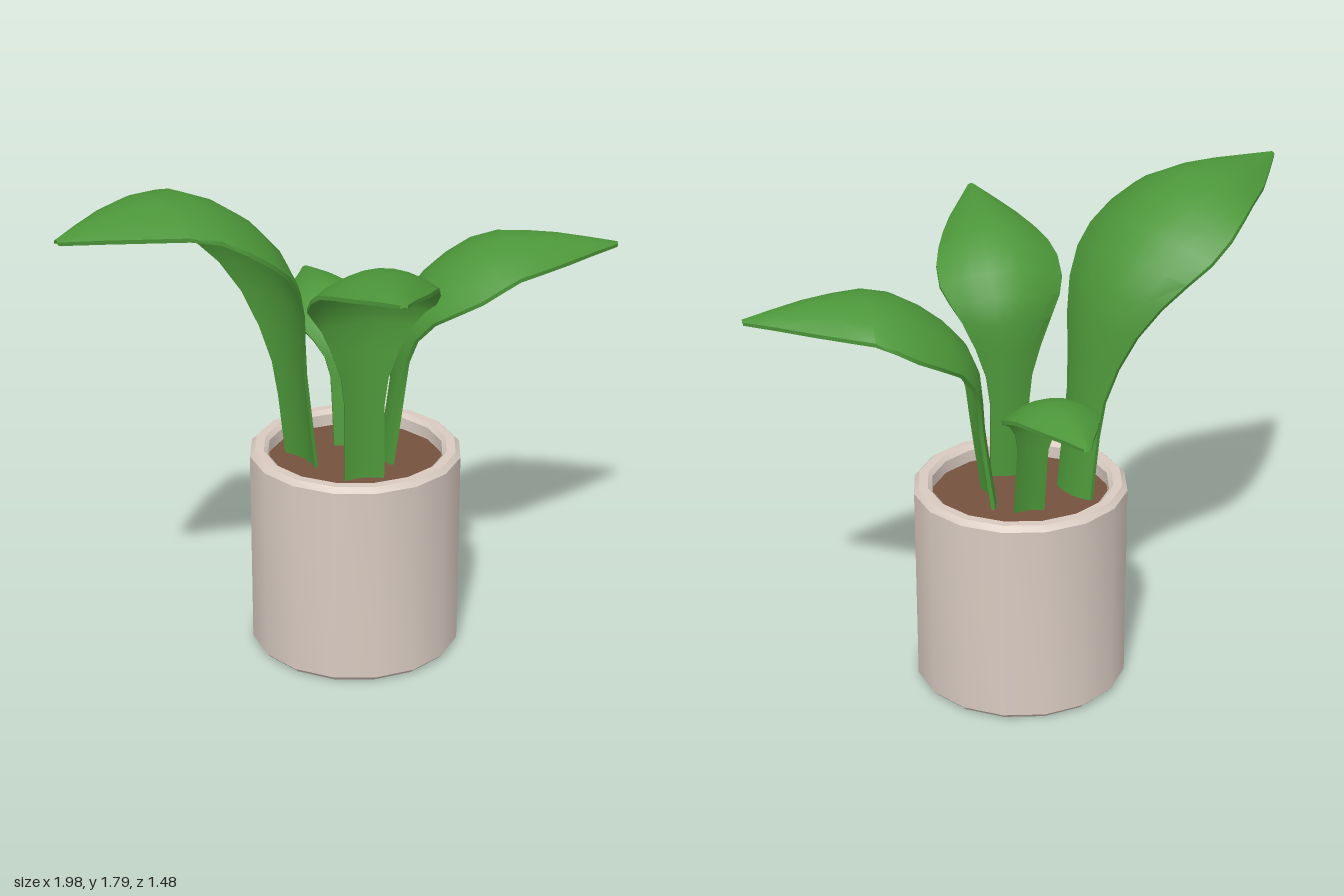
import * as THREE from 'three';
import { toCreasedNormals } from 'three/addons/utils/BufferGeometryUtils.js';

const HALF = 4;   // strips on each side of the midrib
const STEPS = 14; // strips along the leaf
const PEAK = 0.6; // where along the leaf the blade is widest

// Leaf along +z: the midrib follows [outward, height] points, the edges droop from it
function leafGeometry({ ridge, stalk, blade, start, tipBend = 0, bow = 0 }) {
  const curve = new THREE.CatmullRomCurve3(ridge.map(([r, y]) => new THREE.Vector3(0, y, r)));
  const pos = [], idx = [];
  const ring = 2 * (2 * HALF + 1);
  for (let i = 0; i <= STEPS; i++) {
    const s = i / STEPS;
    const p = curve.getPointAt(s), t = curve.getTangentAt(s);
    // narrow stalk, smooth widening, then a rounded taper to the tip
    const rise = THREE.MathUtils.smoothstep(s, start, PEAK);
    const fall = 1 - Math.pow(Math.max(0, (s - PEAK) / (1 - PEAK)), 1.8);
    const w = Math.max(0.012, (stalk + (blade - stalk) * rise) * fall);
    const droop = w * (0.23 + 0.16 * rise);
    const thick = Math.min(0.014, w);
    const shift = tipBend * s * s + bow * Math.sin(Math.PI * s * s);
    const add = (u, below) => {
      const d = droop * u * u + below;
      pos.push(shift + w * u, p.y - t.z * d, p.z + t.y * d);
    };
    for (let j = -HALF; j <= HALF; j++) add(j / HALF, 0);
    for (let j = HALF; j >= -HALF; j--) add(j / HALF, thick);
  }
  for (let i = 0; i < STEPS; i++) {
    for (let j = 0; j < ring; j++) {
      const a = i * ring + j, c = i * ring + (j + 1) % ring;
      idx.push(a, a + ring, c, c, a + ring, c + ring);
    }
  }
  const g = new THREE.BufferGeometry();
  g.setAttribute('position', new THREE.Float32BufferAttribute(pos, 3));
  g.setIndex(idx);
  return toCreasedNormals(g, 0.9);
}

function material(name, color, side = THREE.FrontSide) {
  const m = new THREE.MeshStandardMaterial({ color, side });
  m.name = name;
  return m;
}

export function createModel() {
  const model = new THREE.Group();
  model.name = 'pottedPlant';
  const clay = material('paleClay', 0xd8cac0);
  const earth = material('brownSoil', 0x74533e);
  const green = material('leafGreen', 0x4c9639, THREE.DoubleSide);
  const add = (name, geometry, mat, x, y, z) => {
    const m = new THREE.Mesh(geometry, mat);
    m.name = name;
    m.position.set(x, y, z);
    model.add(m);
    return m;
  };
  const addLeaf = (name, x, z, turn, shape) => {
    add(name, leafGeometry(shape), green, x, 0, z).rotation.y = turn;
  };

  // Pot: bevelled wall, rim and inner wall in one profile
  const profile = [[0, 0], [0.362, 0], [0.38, 0.018], [0.38, 0.742], [0.362, 0.76],
    [0.33, 0.76], [0.315, 0.745], [0.315, 0.66]].map(([x, y]) => new THREE.Vector2(x, y));
  add('pot', toCreasedNormals(new THREE.LatheGeometry(profile, 16), 0.5), clay, 0.05, 0, -0.055);

  // Soil surface
  add('soil', new THREE.CylinderGeometry(0.315, 0.315, 0.03, 16), earth, 0.05, 0.685, -0.055);

  // Leaves with their stalks
  addLeaf('frontLeaf', 0.05, 0, 0, {
    stalk: 0.07, blade: 0.222, start: 0.22,
    ridge: [[0.09, 0.68], [0.088, 1.1], [0.1, 1.36], [0.18, 1.465], [0.31, 1.555], [0.53, 1.585], [0.737, 1.588]],
  });
  addLeaf('leftLeaf', 0, -0.07, Math.PI / 2, {
    stalk: 0.085, blade: 0.247, start: 0.22,
    ridge: [[0.14, 0.68], [0.183, 1], [0.2, 1.2], [0.27, 1.335], [0.51, 1.498], [0.74, 1.5], [0.99, 1.457]],
  });
  addLeaf('backLeaf', 0.05, 0, Math.PI, {
    stalk: 0.053, blade: 0.157, start: 0.28, tipBend: 0.06,
    ridge: [[0.17, 0.68], [0.21, 0.96], [0.235, 1.08], [0.295, 1.16], [0.43, 1.23], [0.56, 1.23], [0.745, 1.195]],
  });
  addLeaf('rightLeaf', -0.115, -0.1, -1.06, {
    stalk: 0.085, blade: 0.292, start: 0.17, bow: -0.05,
    ridge: [[0, 0.68], [0.05, 1.1], [0.1, 1.42], [0.19, 1.59], [0.33, 1.71], [0.5, 1.787], [0.7, 1.785], [1, 1.742]],
  });
  return model;
}
